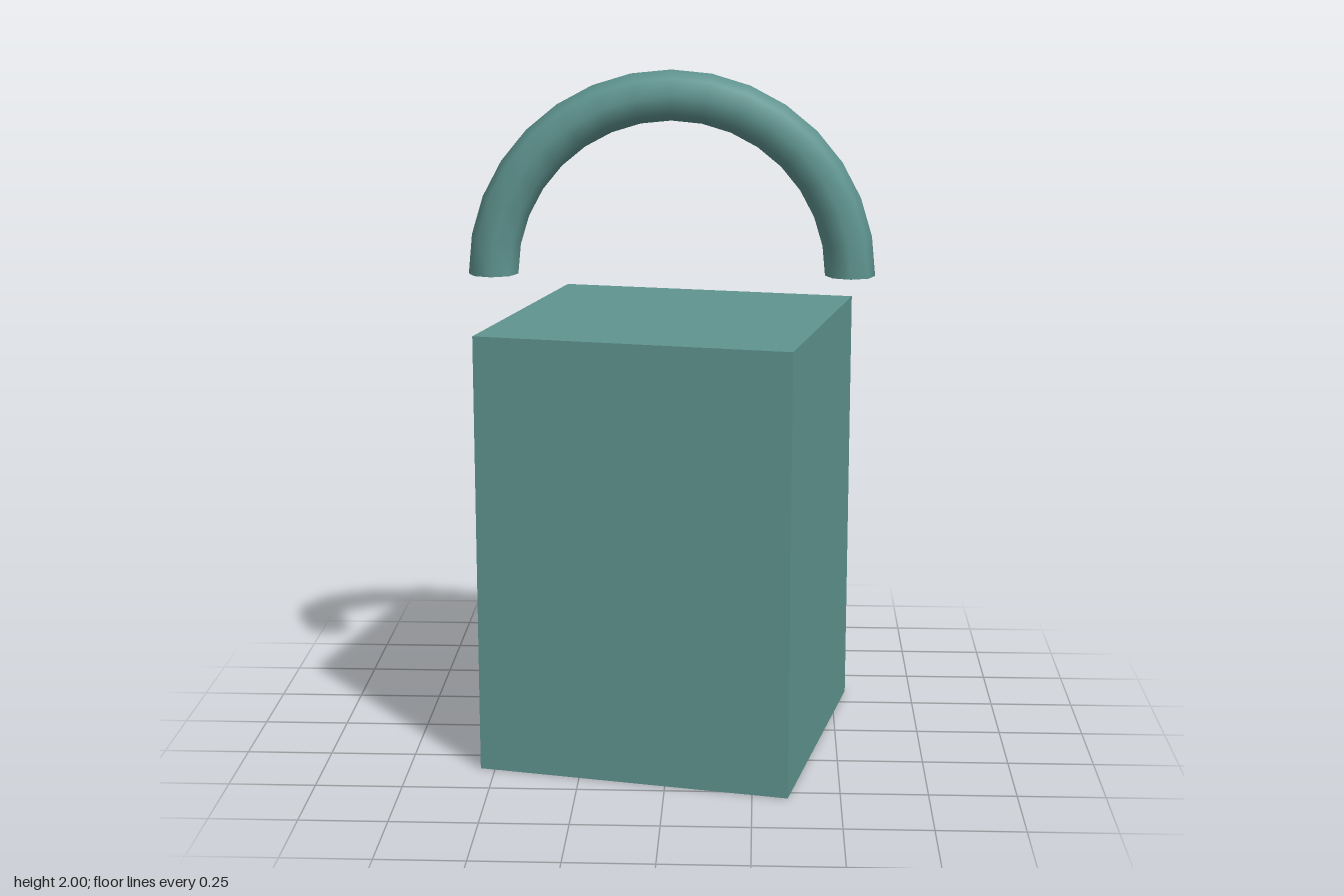
import * as THREE from 'three';

export function createModel() {
  const group = new THREE.Group();
  group.name = 'padlock';
  const material = new THREE.MeshStandardMaterial({ color: 0x5f9490, side: THREE.DoubleSide });

  // Square block, slightly turned about the vertical axis
  const side = 0.914, height = 1.284;
  const body = new THREE.Mesh(new THREE.BoxGeometry(side, height, side), material);
  body.name = 'lockBody';
  body.position.y = height / 2;
  body.rotation.y = -0.211;
  group.add(body);

  // Open-ended half ring floating above the block
  const ringRadius = 0.522, tubeRadius = 0.073;
  const shackle = new THREE.Mesh(
    new THREE.TorusGeometry(ringRadius, tubeRadius, 8, 16, Math.PI), material);
  shackle.name = 'shackle';
  shackle.position.y = 2 - ringRadius - tubeRadius;
  group.add(shackle);

  return group;
}
